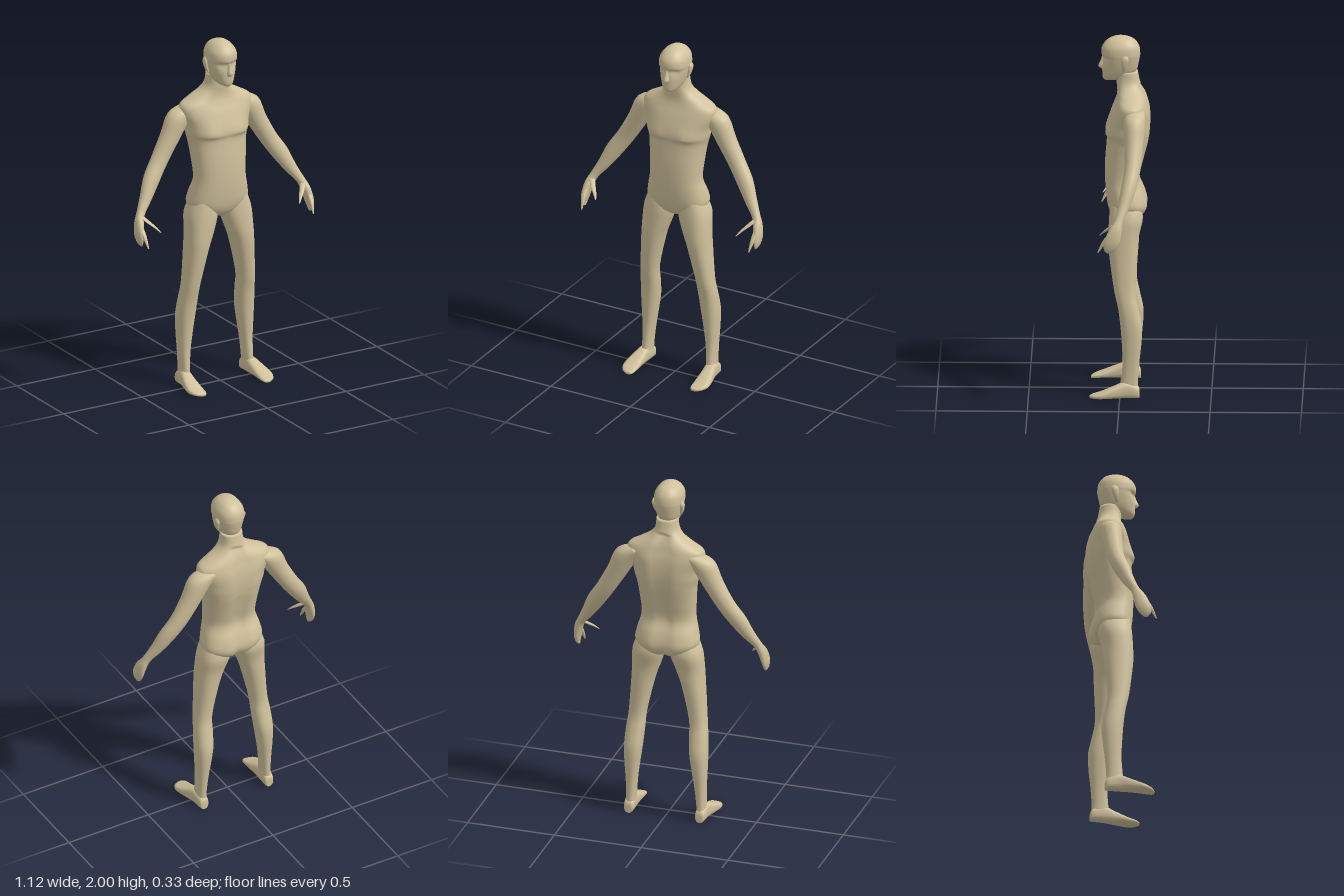
import * as THREE from 'three';

const X = [1, 0, 0], Y = [0, 1, 0], Z = [0, 0, 1];
const SIDES = 28, STEPS = 4;

const skin = new THREE.MeshStandardMaterial({ color: 0xd0c19b });
skin.name = 'skin';

// smooth interpolation between cross-sections
function spline(a, b, c, d, t) {
  return b + 0.5 * t * (c - a + t * (2 * a - 5 * b + 4 * c - d + t * (3 * (b - c) + d - a)));
}

// closed skin through rounded cross-sections [x, y, z, halfWidth, halfDepth]
// u and v are the width and depth directions, side = -1 mirrors in x
function loft(name, rings, { u = X, v = Z, side = 1, power = 0.85, shape = null } = {}) {
  const rows = [];
  const last = rings.length - 1;
  for (let i = 0; i < last; i++) {
    const [a, b, c, d] = [i - 1, i, i + 1, i + 2].map(k => rings[Math.min(last, Math.max(0, k))]);
    for (let s = 0; s < STEPS; s++) rows.push(b.map((_, k) => spline(a[k], b[k], c[k], d[k], s / STEPS)));
  }
  rows.push(rings[last]);

  const pos = [], index = [];
  const round = q => Math.sign(q) * Math.pow(Math.abs(q), power);
  const add = p => {
    if (shape) shape(p);
    pos.push(p[0] * side, p[1], p[2]);
  };
  for (const r of rows) {
    for (let j = 0; j < SIDES; j++) {
      const a = (j / SIDES) * Math.PI * 2;
      const cu = round(Math.cos(a)) * r[3], cv = round(Math.sin(a)) * r[4];
      add([0, 1, 2].map(k => r[k] + u[k] * cu + v[k] * cv));
    }
  }
  const endA = rows.length * SIDES, endB = endA + 1;
  add(rows[0].slice(0, 3));
  add(rows[rows.length - 1].slice(0, 3));

  // corner order follows the direction of travel
  const travel = new THREE.Vector3(...rings[last].slice(0, 3)).sub(new THREE.Vector3(...rings[0].slice(0, 3)));
  const turn = new THREE.Vector3(...u).cross(new THREE.Vector3(...v)).dot(travel) * side;
  const tri = (a, b, c) => (turn > 0 ? index.push(a, b, c) : index.push(a, c, b));
  const top = (rows.length - 1) * SIDES;
  for (let j = 0; j < SIDES; j++) {
    const k = (j + 1) % SIDES;
    for (let i = 0; i < rows.length - 1; i++) {
      const p = i * SIDES, q = p + SIDES;
      tri(p + j, p + k, q + k);
      tri(p + j, q + k, q + j);
    }
    tri(endA, k, j);
    tri(endB, top + j, top + k);
  }
  const g = new THREE.BufferGeometry();
  g.setAttribute('position', new THREE.Float32BufferAttribute(pos, 3));
  g.setIndex(index);
  g.computeVertexNormals();
  const mesh = new THREE.Mesh(g, skin);
  mesh.name = name;
  return mesh;
}

// upright section from height, half width, front z and back z
const level = ([y, w, f, b]) => [0, y, (f + b) / 2, w, (f - b) / 2];
const bump = (q, centre, size) => Math.exp(-(((q - centre) / size) ** 2));

export function createModel() {
  const man = new THREE.Group();
  man.name = 'man';

  // torso and neck, with chest muscles and a spine groove
  man.add(loft('torso', [
    [0.975, 0.04, 0.02, -0.09], [1.0, 0.12, 0.05, -0.13], [1.05, 0.178, 0.07, -0.15],
    [1.12, 0.172, 0.08, -0.137], [1.2, 0.153, 0.085, -0.108], [1.3, 0.157, 0.084, -0.128],
    [1.4, 0.167, 0.076, -0.153], [1.44, 0.176, 0.074, -0.16], [1.47, 0.184, 0.076, -0.164],
    [1.52, 0.192, 0.068, -0.166], [1.58, 0.215, 0.05, -0.162], [1.63, 0.215, 0.03, -0.15],
    [1.665, 0.16, 0.02, -0.14], [1.7, 0.1, 0.018, -0.125], [1.74, 0.067, 0.022, -0.107],
    [1.8, 0.06, 0.022, -0.095],
  ].map(level), {
    shape: p => {
      const [x, y, z] = p;
      if (z > 0) p[2] += 0.014 * bump(Math.abs(x), 0.09, 0.06) * bump(y, 1.465, y < 1.465 ? 0.018 : 0.06);
      else if (z < -0.08 && y < 1.72) p[2] += 0.02 * bump(x, 0, 0.03);
    },
  }));

  // head with sunken eye sockets
  man.add(loft('head', [
    [1.75, 0.02, 0.088, 0.02], [1.765, 0.043, 0.098, -0.03], [1.8, 0.062, 0.1, -0.085],
    [1.85, 0.075, 0.1, -0.1], [1.88, 0.08, 0.1, -0.106], [1.9, 0.082, 0.105, -0.108],
    [1.94, 0.078, 0.1, -0.103], [1.975, 0.056, 0.072, -0.078], [1.993, 0.03, 0.038, -0.042],
    [2.0, 0.008, 0.01, -0.01],
  ].map(level), {
    power: 0.9,
    shape: p => {
      if (p[2] > 0.03) p[2] -= 0.016 * bump(Math.abs(p[0]), 0.038, 0.025) * bump(p[1], 1.88, p[1] > 1.88 ? 0.012 : 0.03);
    },
  }));
  man.add(loft('nose', [
    [1.89, 0.007, 0.1, 0.07], [1.86, 0.011, 0.109, 0.07], [1.828, 0.017, 0.122, 0.07], [1.812, 0.012, 0.106, 0.07],
  ].map(level), { power: 1 }));

  for (const side of [1, -1]) {
    const name = side > 0 ? 'left' : 'right';

    man.add(loft(name + 'Ear', [
      [0.068, 1.81, -0.015, 0.004, 0.007], [0.077, 1.84, -0.02, 0.01, 0.014],
      [0.082, 1.88, -0.027, 0.011, 0.02], [0.08, 1.9, -0.028, 0.004, 0.01],
    ], { side }));

    // arm and mitten-like hand in one skin
    man.add(loft(name + 'Arm', [
      [0.15, 1.61, -0.085, 0.035, 0.05], [0.222, 1.558, -0.08, 0.064, 0.06],
      [0.28, 1.45, -0.078, 0.056, 0.052], [0.347, 1.335, -0.072, 0.05, 0.045],
      [0.41, 1.24, -0.052, 0.048, 0.042], [0.462, 1.15, -0.026, 0.035, 0.033],
      [0.508, 1.08, 0.0, 0.024, 0.025], [0.53, 1.03, 0.02, 0.025, 0.037],
      [0.542, 0.97, 0.037, 0.021, 0.044], [0.544, 0.93, 0.047, 0.013, 0.032],
      [0.54, 0.91, 0.052, 0.006, 0.012],
    ], { u: [0.88, 0.47, 0], side, power: 1 }));

    man.add(loft(name + 'Thumb', [
      [0.515, 1.065, 0.018, 0.015, 0.015], [0.487, 1.035, 0.055, 0.013, 0.014],
      [0.462, 1.01, 0.082, 0.009, 0.009], [0.442, 0.985, 0.106, 0.003, 0.003],
    ], { side }));
    man.add(loft(name + 'Finger', [
      [0.535, 1.01, 0.05, 0.014, 0.014], [0.532, 0.97, 0.08, 0.012, 0.012],
      [0.526, 0.91, 0.113, 0.004, 0.004],
    ], { side }));

    // leg sections: height, outer x, inner x, front z, back z
    man.add(loft(name + 'Leg', [
      [1.09, 0.16, 0.05, 0.05, -0.1], [1.0, 0.195, 0.018, 0.06, -0.125], [0.9, 0.203, 0.045, 0.063, -0.105],
      [0.8, 0.208, 0.08, 0.06, -0.098], [0.6, 0.222, 0.124, 0.032, -0.086], [0.5, 0.233, 0.13, 0.01, -0.102],
      [0.4, 0.238, 0.138, -0.003, -0.122], [0.3, 0.235, 0.152, -0.011, -0.118],
      [0.2, 0.23, 0.166, -0.015, -0.107], [0.1, 0.228, 0.175, -0.008, -0.1], [0.03, 0.23, 0.178, -0.002, -0.1],
    ].map(([y, o, i, f, b]) => [(o + i) / 2, y, (f + b) / 2, (o - i) / 2, (f - b) / 2]), { side }));

    // foot sections: z, centre x, half width, height
    man.add(loft(name + 'Foot', [
      [-0.108, 0.204, 0.018, 0.045], [-0.095, 0.205, 0.028, 0.07], [-0.03, 0.208, 0.033, 0.09],
      [0.03, 0.216, 0.04, 0.068], [0.1, 0.222, 0.046, 0.038], [0.145, 0.215, 0.036, 0.022],
      [0.165, 0.206, 0.016, 0.012],
    ].map(([z, x, w, h]) => [x, h / 2, z, w, h / 2]), { v: Y, side, power: 0.75 }));
  }
  return man;
}
